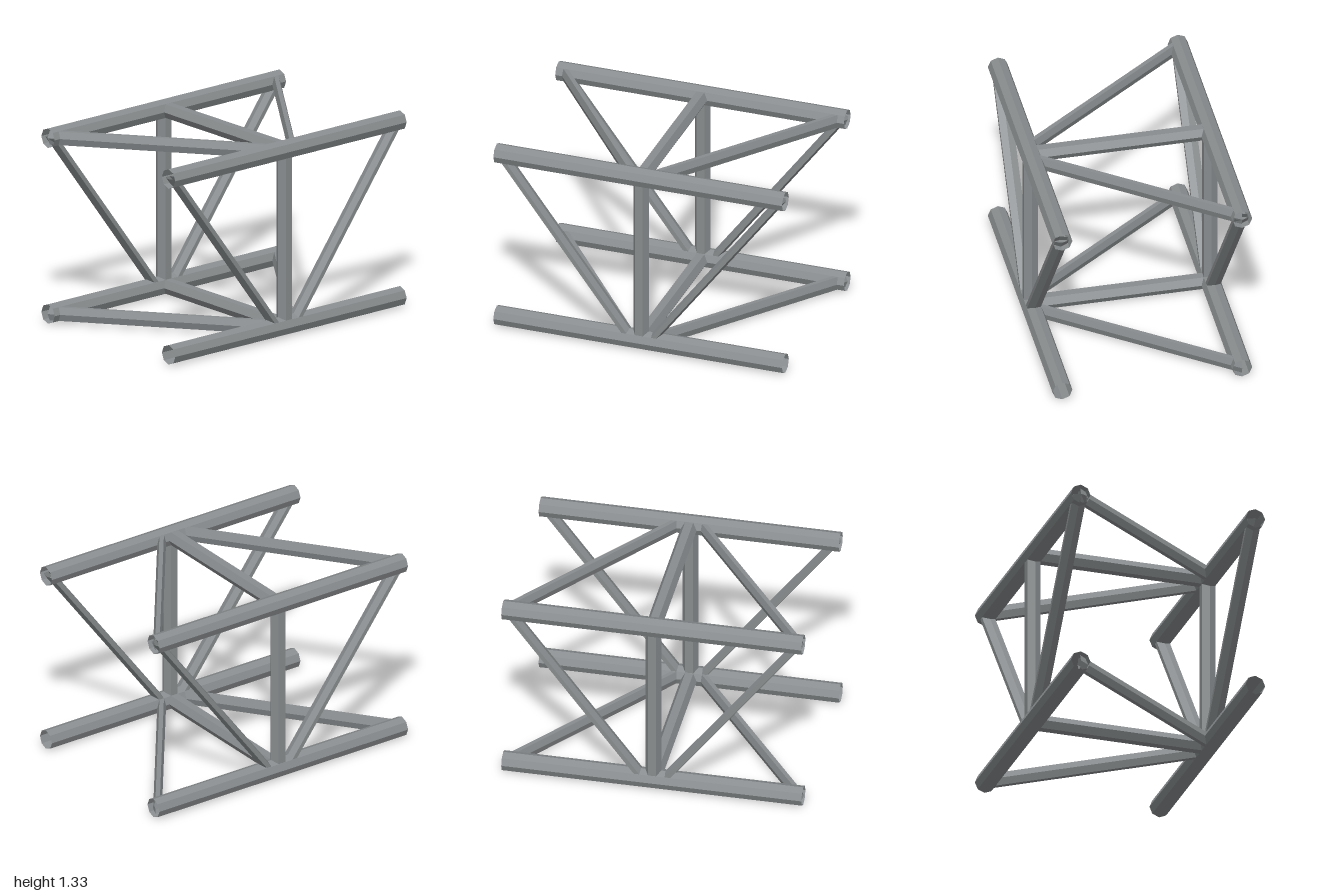
import * as THREE from 'three';

const HALF = 0.6;            // half the spacing between chords
const MID_Y = 0.667;         // height of the truss centre
const CHORD_R = 0.0667;
const STRUT_R = 0.0533;
const BRACE_Z = 0.036;       // flattened half depth of the braces
const NEAR = 0.067, FAR = 0.967; // brace ends along z

const steel = new THREE.MeshStandardMaterial({
  color: 0x888c8e, flatShading: true, side: THREE.DoubleSide,
});
steel.name = 'steel grey';

// open six-sided bar standing upright
const bar = () => new THREE.CylinderGeometry(STRUT_R, STRUT_R, 2 * HALF, 6, 1, true);

// slanted bar: flattened in z, then sheared from the centre (bottom) to the end (top)
function slantedBar(dir) {
  const geo = bar().scale(1, 1, BRACE_Z / STRUT_R);
  const p = geo.attributes.position;
  for (let i = 0; i < p.count; i++) {
    const t = (p.getY(i) + HALF) / (2 * HALF);
    p.setZ(i, p.getZ(i) + dir * (NEAR + (FAR - NEAR) * t));
  }
  geo.computeVertexNormals();
  return geo;
}

export function createModel() {
  const model = new THREE.Group();
  model.name = 'trussSection';

  const add = (name, geo, x, y) => {
    const mesh = new THREE.Mesh(geo, steel);
    mesh.name = name;
    mesh.position.set(x, MID_Y + y, 0);
    model.add(mesh);
  };

  // four long octagonal chords
  for (const x of [-HALF, HALF]) {
    for (const y of [-HALF, HALF]) {
      const chord = new THREE.CylinderGeometry(CHORD_R, CHORD_R, 2, 8, 1, true);
      add('chord', chord.rotateX(Math.PI / 2), x, y);
    }
  }

  for (const s of [-1, 1]) {
    // square frame in the middle
    add('post', bar(), s * HALF, 0);
    add('crossbar', bar().rotateZ(Math.PI / 2), 0, s * HALF);

    // V-shaped braces on the sides, top and bottom
    for (const dir of [-1, 1]) {
      add('sideBrace', slantedBar(dir), s * HALF, 0);
      add('flatBrace', slantedBar(dir).rotateZ(Math.PI / 2), 0, s * HALF);
    }
  }
  return model;
}
